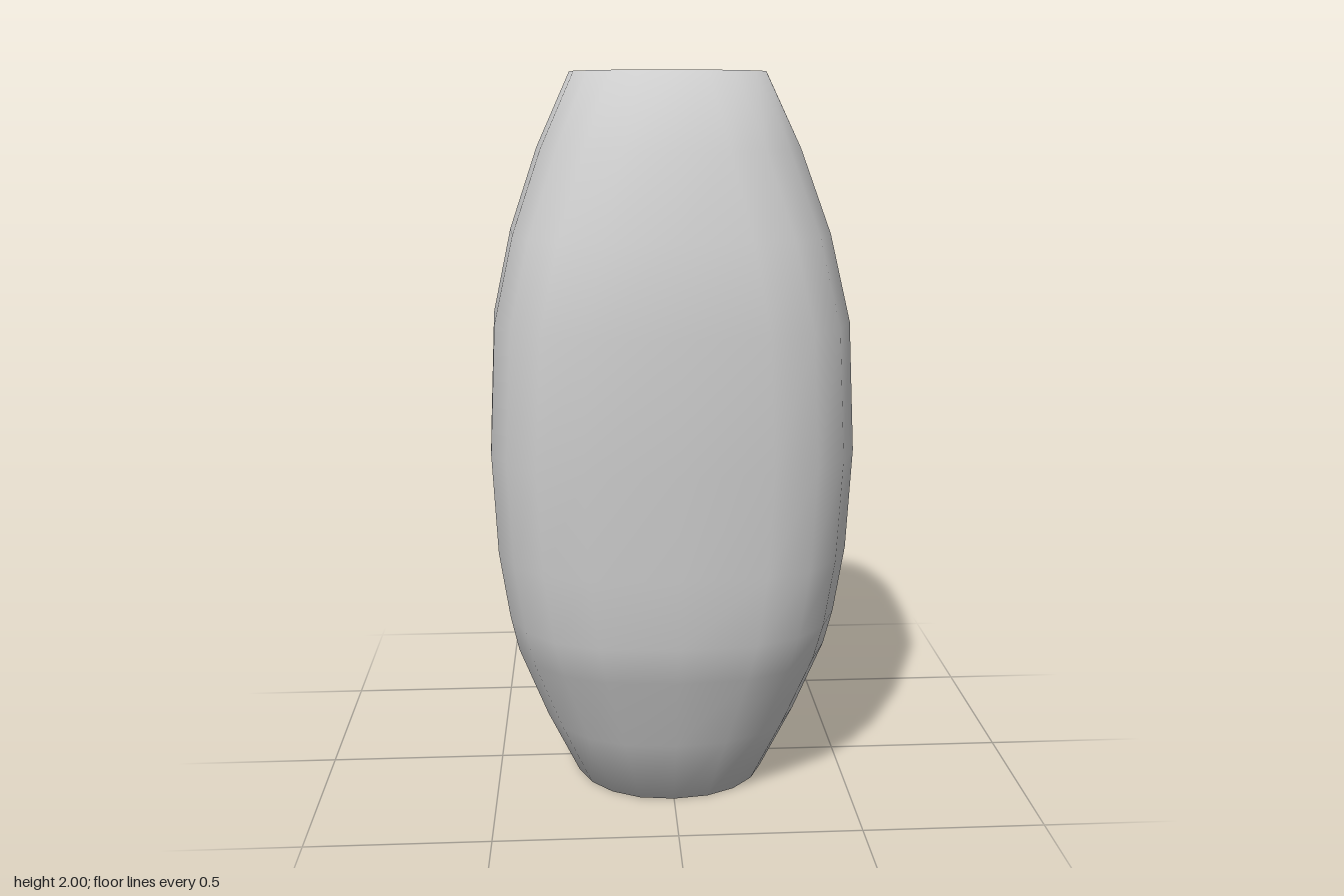
import * as THREE from 'three';
import { mergeVertices } from 'three/addons/utils/BufferGeometryUtils.js';

const grey = new THREE.MeshStandardMaterial({ color: 0xcccccc });

// Body rings: height, half width, front depth, back depth, squareness of the section
const RINGS = [
  [0, 0.28, 0.295, 0.265, 2.2],
  [0.2, 0.37, 0.375, 0.35, 2.4],
  [0.42, 0.447, 0.46, 0.435, 2.7],
  [0.53, 0.467, 0.494, 0.463, 2.9],
  [0.72, 0.493, 0.5, 0.47, 3.1],
  [1, 0.505, 0.508, 0.475, 3.2],
  [1.35, 0.487, 0.506, 0.468, 3.1],
  [1.58, 0.436, 0.464, 0.432, 2.8],
  [1.8, 0.36, 0.385, 0.345, 2.4],
  [2, 0.268, 0.272, 0.25, 2.1],
];

// Rounded-square pod: a cylinder whose rings are reshaped, smooth across the caps
function podGeometry() {
  const rows = RINGS.length - 1;
  let geo = new THREE.CylinderGeometry(1, 1, rows, 20, rows);
  geo.deleteAttribute('uv');
  geo.deleteAttribute('normal');
  const pos = geo.attributes.position;
  for (let i = 0; i < pos.count; i++) {
    const [y, w, front, back, n] = RINGS[Math.round(pos.getY(i) + rows / 2)];
    const bulge = (v) => Math.sign(v) * Math.pow(Math.abs(v), 2 / n);
    const x = bulge(pos.getX(i)), z = bulge(pos.getZ(i));
    pos.setXYZ(i, x * w, y, z * (z > 0 ? front : back));
  }
  geo = mergeVertices(geo, 1e-4);
  geo.computeVertexNormals();
  return geo;
}

// Bent rod: straight pieces between points, with a ball at each bend
function rod(name, points, radius, sides) {
  const group = new THREE.Group();
  group.name = name;
  const pts = points.map((p) => new THREE.Vector3(...p));
  for (let i = 0; i < pts.length - 1; i++) {
    const dir = pts[i + 1].clone().sub(pts[i]);
    const piece = new THREE.Mesh(new THREE.CylinderGeometry(radius, radius, dir.length(), sides), grey);
    piece.name = 'rodPiece';
    piece.position.copy(pts[i]).addScaledVector(dir, 0.5);
    piece.quaternion.setFromUnitVectors(new THREE.Vector3(0, 1, 0), dir.normalize());
    group.add(piece);
    if (i > 0) {
      const joint = new THREE.Mesh(new THREE.SphereGeometry(radius * 0.95, 8, 6), grey);
      joint.name = 'rodJoint';
      joint.position.copy(pts[i]);
      group.add(joint);
    }
  }
  return group;
}

export function createModel() {
  const model = new THREE.Group();
  model.name = 'pod';

  const body = new THREE.Mesh(podGeometry(), grey);
  body.name = 'body';
  model.add(body);

  // Crossbars on the back, slightly bowed outwards
  for (const [name, y] of [['upperBar', 1.465], ['lowerBar', 0.545]]) {
    model.add(rod(name, [[-0.35, y, -0.452], [0, y, -0.479], [0.35, y, -0.452]], 0.031, 6));
  }

  // Pair of bent side handles pointing towards each other
  for (const [name, s] of [['leftHandle', 1], ['rightHandle', -1]]) {
    model.add(rod(name, [[s * 0.28, 1.34, -0.483], [s * 0.175, 1.1, -0.49], [s * 0.28, 0.81, -0.482]], 0.021, 6));
  }
  return model;
}
